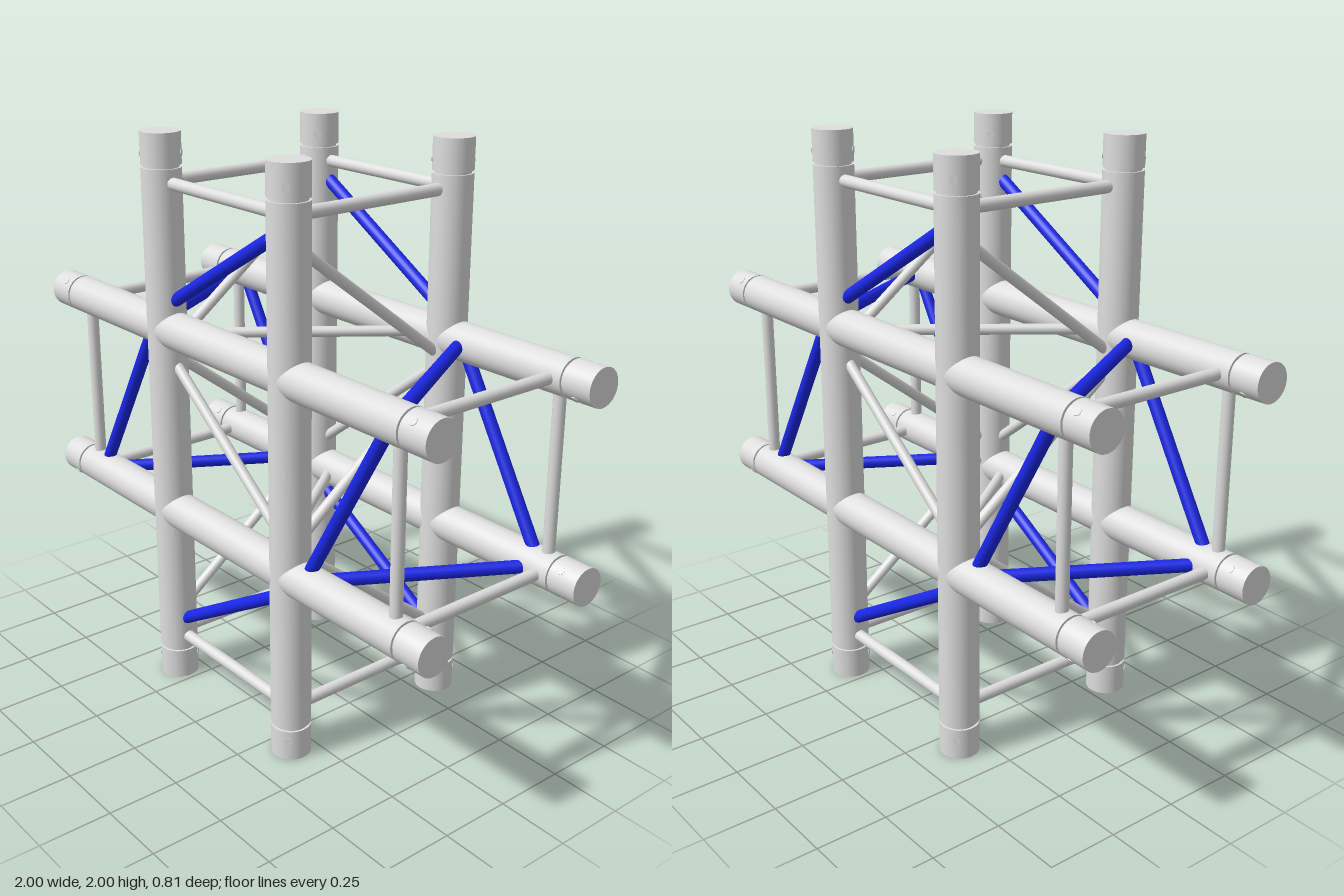
import * as THREE from 'three';

const mat = (name, color) => {
  const m = new THREE.MeshStandardMaterial({ color });
  m.name = name;
  return m;
};

export function createModel() {
  const metal = mat('aluminium grey', 0xdedede);
  const blue = mat('brace blue', 0x1c29f0);

  const root = new THREE.Group();
  root.name = 'trussCross';
  const UP = new THREE.Vector3(0, 1, 0);
  const C = 0.335; // chord axis offset from the centre
  const E = 0.285; // brace end offset, just inside the chord wall

  // Round bar between two points
  function bar(name, a, b, r, material, parent = root, sides = 20) {
    const p = new THREE.Vector3(...a), q = new THREE.Vector3(...b);
    const d = q.clone().sub(p);
    const m = new THREE.Mesh(new THREE.CylinderGeometry(r, r, d.length(), sides), material);
    m.position.copy(p).add(q).multiplyScalar(0.5);
    m.quaternion.setFromUnitVectors(UP, d.normalize());
    m.name = name;
    parent.add(m);
  }

  // Main tube along local y: body, grooves, end sleeves and cross pins
  function chord(name, r, hx, hz) {
    const g = new THREE.Group();
    g.name = name;
    bar('tubeBody', [0, -0.883, 0], [0, 0.883, 0], r, metal, g, 40);
    for (const s of [-1, 1]) {
      bar('groove', [0, s * 0.875, 0], [0, s * 0.9, 0], r - 0.008, metal, g, 40);
      bar('endSleeve', [0, s * 0.892, 0], [0, s, 0], r, metal, g, 40);
      const k = (r + 0.0015) * Math.SQRT1_2;
      bar('crossPin', [-hx * k, s * 0.93, -hz * k], [hx * k, s * 0.93, hz * k], 0.013, metal, g, 16);
    }
    root.add(g);
    return g;
  }

  for (const a of [-1, 1]) for (const b of [-1, 1]) {
    chord('verticalChord', 0.068, a, b).position.set(a * C, 1, b * C);
    const h = chord('horizontalChord', 0.0655, a, b);
    h.rotation.z = -Math.PI / 2; // local y -> +x, local x -> -y
    h.position.set(0, 1 - a * C, b * C);
  }

  // Straight rungs near every open end
  const R = 0.021;
  for (const s of [-1, 1]) for (const t of [-1, 1]) {
    const y = 1 + s * 0.835, x = s * 0.835;
    bar('endRung', [-C, y, t * C], [C, y, t * C], R, metal);
    bar('endRung', [t * C, y, -C], [t * C, y, C], R, metal);
    bar('armRung', [x, 1 - C, t * C], [x, 1 + C, t * C], R, metal);
    bar('armRung', [x, 1 + t * C, -C], [x, 1 + t * C, C], R, metal);
  }

  // Diagonals: f = 1 and f = -1 are the two faces, half a turn apart
  const B = 0.0225, G = 0.0185;
  for (const f of [-1, 1]) {
    const z = f * C, x = f * C;
    // front and back faces of the tower
    for (const cy of [0.4, 1.605]) {
      bar('towerBrace', [-f * E, cy - 0.166, z], [f * E, cy + 0.166, z], B, blue);
    }
    bar('coreBrace', [-f * E, 1.215, z], [f * E, 0.785, z], G, metal);
    // left and right faces of the tower
    for (const cy of [0.495, 1.505]) {
      bar('sideBrace', [x, cy + 0.215, f * E], [x, cy - 0.215, -f * E], G, metal);
    }
    bar('sideBrace', [x, 0.785, f * E], [x, 1.215, -f * E], G, metal);
    // arms: front, back, top and bottom faces
    const i = f * 0.438, o = f * 0.772;
    bar('armBrace', [i, 1 - E, z], [o, 1 + E, z], B, blue);
    bar('armBrace', [i, 1 + E, -z], [o, 1 - E, -z], B, blue);
    bar('armBrace', [i, 1 + C, -f * E], [o, 1 + C, f * E], B, blue);
    bar('armBrace', [i, 1 - C, f * E], [o, 1 - C, -f * E], B, blue);
    // top and bottom of the core
    bar('coreBrace', [-0.215, 1 + f * C, f * E], [0.215, 1 + f * C, -f * E], G, metal);
  }
  return root;
}
